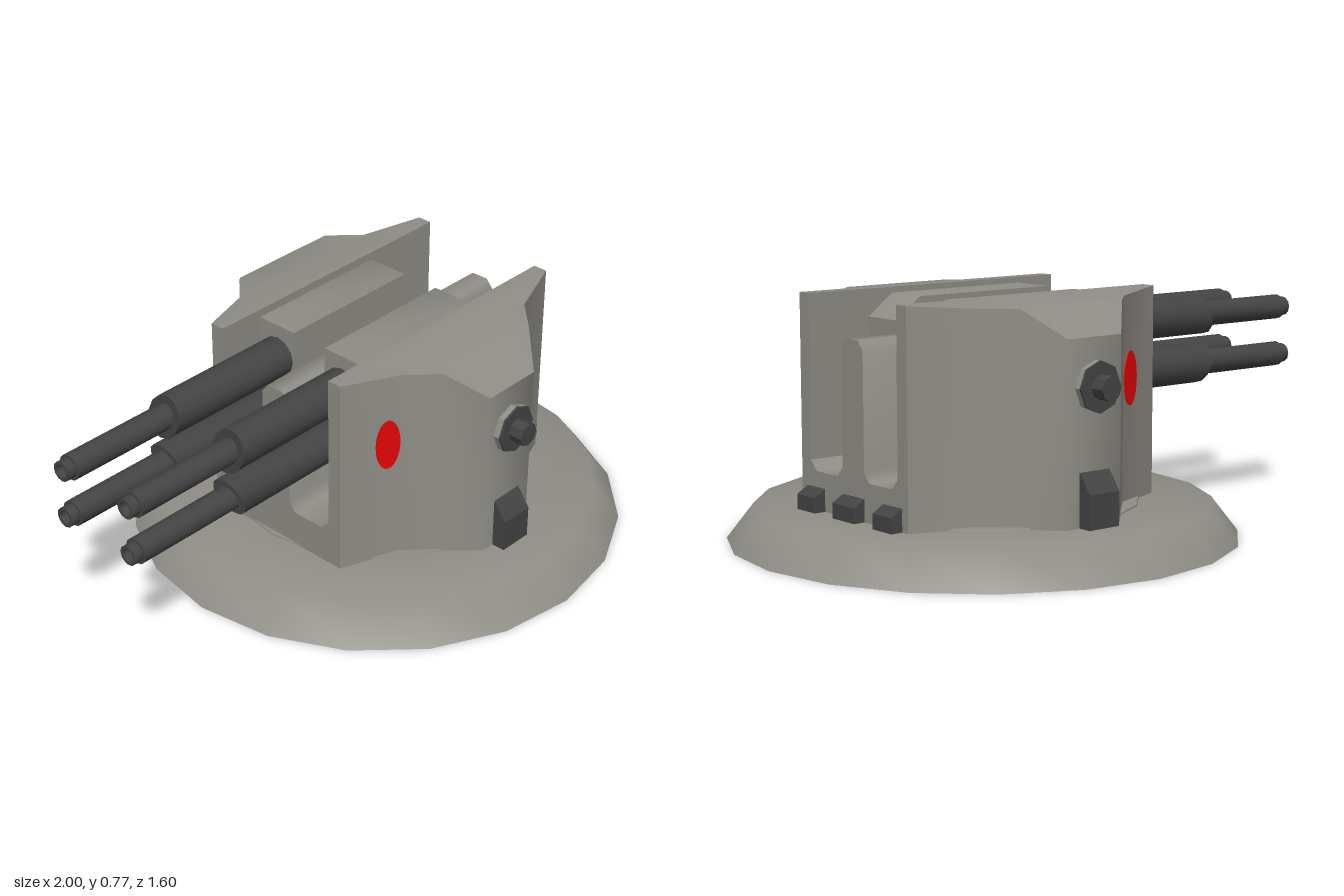
import * as THREE from 'three';
import { toCreasedNormals } from 'three/addons/utils/BufferGeometryUtils.js';

const CX = 0.2; // turret axis

export function createModel() {
  const model = new THREE.Group();
  model.name = 'gunTurret';
  const upper = new THREE.Group();
  upper.name = 'turretHouse';
  upper.position.z = 0.006;
  model.add(upper);

  const mat = (name, color) => {
    const m = new THREE.MeshStandardMaterial({ color });
    m.name = name;
    return m;
  };
  const grey = mat('hullGrey', 0x8f8d86);
  const dark = mat('gunmetal', 0x444444);
  const red = mat('markingRed', 0xe60606);

  const add = (parent, name, geometry, material, x = 0, y = 0, z = 0) => {
    const mesh = new THREE.Mesh(geometry, material);
    mesh.name = name;
    mesh.position.set(x, y, z);
    parent.add(mesh);
    return mesh;
  };
  const shapeOf = (pts) => new THREE.Shape(pts.map((p) => new THREE.Vector2(p[0], p[1])));
  // Prism along x from a [z, y] outline
  const prismX = (pts, x0, x1) =>
    new THREE.ExtrudeGeometry(shapeOf(pts.map(([z, y]) => [-z, y])), { depth: x1 - x0, bevelEnabled: false })
      .rotateY(Math.PI / 2).translate(x0, 0, 0);
  // Prism along z from an [x, y] outline
  const prismZ = (pts, z0, z1) =>
    new THREE.ExtrudeGeometry(shapeOf(pts), { depth: z1 - z0, bevelEnabled: false }).translate(0, 0, z0);
  const lathe = (pts, sides) => new THREE.LatheGeometry(pts.map((p) => new THREE.Vector2(p[0], p[1])), sides);

  // Base: sloping skirt, hollow underside with a collar round a recessed disc, turning ring
  add(model, 'baseSkirt', lathe([[0.8, 0], [0.715, 0.11], [0.47, 0.11], [0, 0.11]], 20), grey, CX);
  add(model, 'baseUnderside', lathe([[0.48, 0.1], [0.715, 0.1], [0.8, 0]], 20), grey, CX);
  add(model, 'baseCollar', toCreasedNormals(
    lathe([[0, 0.08], [0.46, 0.08], [0.465, 0.055], [0.485, 0.055], [0.49, 0.1]], 20), 0.6), grey, CX);
  add(model, 'turningRing', toCreasedNormals(new THREE.CylinderGeometry(0.485, 0.49, 0.02, 20), 0.6), grey, CX, 0.106);

  // Cradle floor with the centre wall, one section along x
  add(upper, 'cradle', toCreasedNormals(prismX([
    [-0.23, 0.11], [0.23, 0.11], [0.23, 0.27], [0.22, 0.26], [0.192, 0.23], [0.08, 0.23], [0.055, 0.26],
    [0.055, 0.62], [0.03, 0.65], [-0.03, 0.65], [-0.055, 0.62], [-0.055, 0.26], [-0.08, 0.23],
    [-0.192, 0.23], [-0.22, 0.26], [-0.23, 0.27],
  ], -0.27, 0.693), 0.9), grey);

  // Armoured cheeks: sections along x, with the roof height set by distance outward
  const roof = [[0.221, 0.77], [0.269, 0.77], [0.33, 0.755], [0.43, 0.755], [0.53, 0.67]];
  const roofY = (z) => {
    for (let i = 1; i < roof.length; i++) {
      const [z0, y0] = roof[i - 1], [z1, y1] = roof[i];
      if (z <= z1) return y0 + (y1 - y0) * (z - z0) / (z1 - z0);
    }
    return 0.67;
  };
  const stations = [[-0.27, 0.269], [-0.08, 0.34], [0.01, 0.43], [0.105, 0.53],
    [0.313, 0.53], [0.405, 0.43], [0.495, 0.34], [0.693, 0.269]];
  const cheek = (side) => {
    const rings = stations.map(([x, out]) => {
      const top = roof.map(([z]) => Math.min(z, out)).map((z) => [z, roofY(z)]);
      return [[0.221, 0.11], ...top, [out, 0.11]].map(([z, y]) => new THREE.Vector3(x, y, z * side));
    });
    const pos = [];
    const tri = (a, b, c) => {
      if (new THREE.Triangle(a, b, c).getArea() < 1e-7) return;
      for (const p of side > 0 ? [a, b, c] : [a, c, b]) pos.push(p.x, p.y, p.z);
    };
    const n = rings[0].length;
    for (let i = 0; i < rings.length - 1; i++) {
      for (let j = 0; j < n; j++) {
        const k = (j + 1) % n, a = rings[i], b = rings[i + 1];
        tri(a[j], a[k], b[k]);
        tri(a[j], b[k], b[j]);
      }
    }
    const first = rings[0], last = rings[rings.length - 1];
    for (let j = 1; j < n - 1; j++) {
      tri(first[0], first[j + 1], first[j]);
      tri(last[0], last[j], last[j + 1]);
    }
    const g = new THREE.BufferGeometry();
    g.setAttribute('position', new THREE.Float32BufferAttribute(pos, 3));
    return toCreasedNormals(g, 0.86);
  };

  // Barrel along -x, with its sleeve end cut at a slant
  const barrel = (y, z, slant) => {
    const tube = (r, x0, x1) =>
      toCreasedNormals(new THREE.CylinderGeometry(r, r, x1 - x0, 12).rotateZ(Math.PI / 2), 0.7)
        .translate((x0 + x1) / 2, 0, 0);
    const sleeve = tube(0.065, -0.602, -0.1);
    const p = sleeve.attributes.position;
    for (let i = 0; i < p.count; i++) {
      if (p.getX(i) < -0.5) p.setX(i, p.getX(i) + slant * p.getY(i) * 0.27);
    }
    add(upper, 'barrelSleeve', sleeve, dark, 0, y, z);
    add(upper, 'barrelTube', tube(0.041, -0.97, -0.55), dark, 0, y, z);
    // Hollow muzzle
    const muzzle = lathe([[0.032, 0], [0.032, 0.03], [0.022, 0.03], [0.022, 0.001], [0, 0.001]], 12);
    add(upper, 'muzzle', toCreasedNormals(muzzle.rotateZ(Math.PI / 2), 0.7), dark, -0.97, y, z);
  };

  for (const s of [1, -1]) {
    const label = s > 0 ? 'left' : 'right';
    add(upper, label + 'Cheek', cheek(s), grey);

    // Gun block with a chamfered back, and its pair of barrels
    const block = [[-0.12, 0.37], [0.39, 0.37], [0.48, 0.448], [0.48, 0.685], [0.39, 0.753], [-0.12, 0.753]];
    add(upper, label + 'GunBlock',
      toCreasedNormals(prismZ(block, s * 0.137 - 0.072, s * 0.137 + 0.072), 0.8), grey);
    barrel(0.645, s * 0.135, 1);
    barrel(0.485, s * 0.135, -1);

    // Trunnion shaft, cap and bolt
    const disc = (r, len, sides) => toCreasedNormals(
      new THREE.CylinderGeometry(r, r, len, sides).rotateX(Math.PI / 2), 0.5);
    add(upper, label + 'TrunnionShaft', disc(0.077, 0.55, 8), grey, 0.207, 0.525, s * 0.277);
    add(upper, label + 'TrunnionCap', disc(0.078, 0.007, 8), dark, 0.207, 0.525, s * 0.554);
    add(upper, label + 'TrunnionBolt', disc(0.038, 0.05, 8), dark, 0.207, 0.525, s * 0.579);

    // Wedge step at the foot of the cheek
    add(upper, label + 'Step', prismX([[s * 0.5, 0.11], [s * 0.576, 0.11], [s * 0.576, 0.215], [s * 0.532, 0.275],
      [s * 0.5, 0.275]], 0.15, 0.265), dark);

    // Red oval painted on the slanted cheek
    const oval = new THREE.CylinderGeometry(1, 1, 0.008, 28).rotateX(Math.PI / 2).scale(0.041, 0.085, 1);
    const mark = add(upper, label + 'Marking', oval, red, -0.12, s > 0 ? 0.522 : 0.498, s * 0.3252);
    mark.rotation.y = -s * Math.atan2(0.071, 0.19);
  }

  // Rear feet
  const foot = [[0.68, 0.11], [0.732, 0.11], [0.732, 0.157], [0.69, 0.182], [0.68, 0.182]];
  for (const [z, half] of [[0.195, 0.046], [0, 0.055], [-0.195, 0.046]]) {
    add(upper, 'rearFoot', prismZ(foot, z - half, z + half), dark);
  }
  return model;
}
